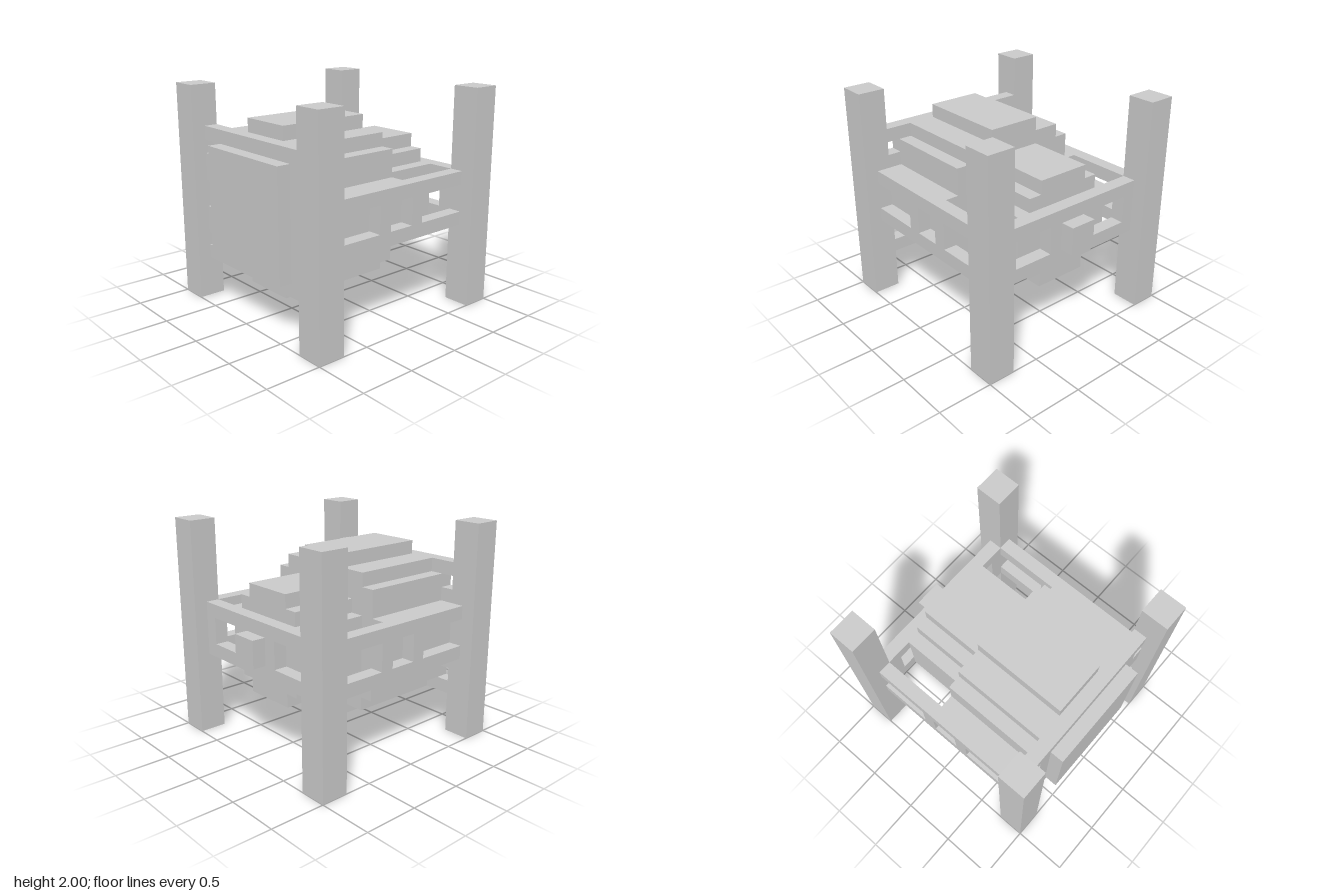
import * as THREE from 'three';

const material = new THREE.MeshStandardMaterial({ color: 0xcccccc, flatShading: true });
const MID = 1; // height of the symmetry plane

// Full outline from the points of its upper right quarter
function mirrored(quarter) {
  const flip = (sx, sy) => quarter.map(([x, y]) => new THREE.Vector2(x * sx, y * sy));
  return new THREE.Shape([
    ...flip(1, 1), ...flip(-1, 1).reverse(), ...flip(-1, -1), ...flip(1, -1).reverse(),
  ]);
}

// Rectangular hole
function cut(shape, x0, x1, y) {
  shape.holes.push(new THREE.Path([[x0, -y], [x0, y], [x1, y], [x1, -y]]
    .map(([a, b]) => new THREE.Vector2(a, b))));
}

// Shape extruded along z, from z0 to z1
function slab(name, shape, z0, z1) {
  const geo = new THREE.ExtrudeGeometry(shape, { depth: z1 - z0, bevelEnabled: false });
  geo.translate(0, 0, z0);
  const mesh = new THREE.Mesh(geo, material);
  mesh.name = name;
  mesh.position.y = MID;
  return mesh;
}

function box(name, w, h, d, x, y, z) {
  const mesh = new THREE.Mesh(new THREE.BoxGeometry(w, h, d), material);
  mesh.name = name;
  mesh.position.set(x, y, z);
  return mesh;
}

export function createModel() {
  const model = new THREE.Group();
  model.name = 'steppedBodyBetweenPosts';

  // Corner posts
  for (const x of [-1, 1]) for (const z of [-1, 1]) {
    model.add(box('cornerPost', 0.25, 2, 0.25, x * 0.875, MID, z * 0.875));
  }

  // Stepped body: large front section, smaller rear section
  model.add(slab('frontBody', mirrored([
    [0.75, 0.25], [0.625, 0.25], [0.625, 0.5], [0.5, 0.5],
    [0.5, 0.625], [0.25, 0.625], [0.25, 0.75],
  ]), -0.125, 0.75));
  model.add(slab('rearBody', mirrored([
    [0.5, 0.25], [0.375, 0.25], [0.375, 0.375], [0.25, 0.375], [0.25, 0.5],
  ]), -0.75, -0.125));

  // Front plate with notched sides, and its raised panel
  model.add(slab('frontPlate', mirrored([
    [0.625, 0.125], [0.75, 0.125], [0.75, 0.375], [0.625, 0.375],
    [0.625, 0.5], [0.75, 0.5], [0.75, 0.625],
  ]), 0.75, 0.875));
  model.add(box('frontPanel', 1, 1, 0.125, 0, MID, 0.9375));

  // Back plate with two windows, and its block
  const back = mirrored([[0.75, 0.25]]);
  cut(back, 0.25, 0.625, 0.125);
  cut(back, -0.625, -0.25, 0.125);
  model.add(slab('backPlate', back, -0.875, -0.75));
  model.add(box('backBlock', 0.25, 0.25, 0.125, 0, MID, -0.9375));

  // Side rails joined by uprights
  for (const [name, x] of [['leftRails', 0.75], ['rightRails', -0.875]]) {
    const side = mirrored([[0.25, 0.125], [0.75, 0.125], [0.75, 0.25]]);
    cut(side, -0.125, 0.125, 0.125);
    const rails = slab(name, side, x, x + 0.125);
    rails.rotation.y = Math.PI / 2;
    model.add(rails);
  }

  return model;
}
